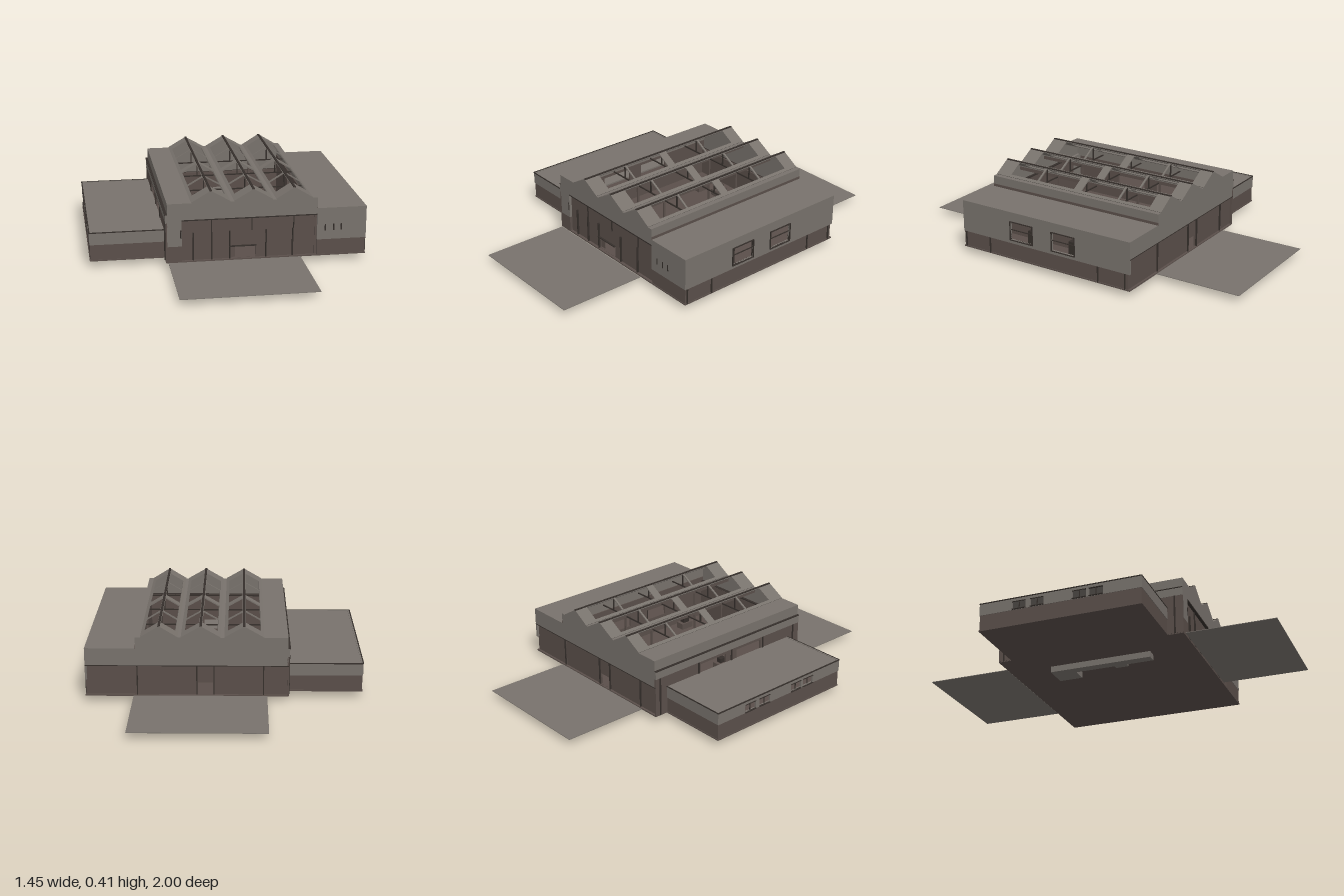
import * as THREE from 'three';

export function createModel() {
  const mat = (name, color) => {
    const m = new THREE.MeshStandardMaterial({ color });
    m.name = name;
    return m;
  };
  const cladding = mat('light cladding', 0x78726c);
  const plinth = mat('dark brick', 0x5a4f4a);
  const trim = mat('dark trim', 0x352f2b);
  const model = new THREE.Group();
  model.name = 'industrialHall';

  // Box from its min and max corners
  const box = (name, m, x0, x1, y0, y1, z0, z1) => {
    const mesh = new THREE.Mesh(new THREE.BoxGeometry(x1 - x0, y1 - y0, z1 - z0), m);
    mesh.position.set((x0 + x1) / 2, (y0 + y1) / 2, (z0 + z1) / 2);
    mesh.name = name;
    model.add(mesh);
    return mesh;
  };
  // Panel outline with rectangular openings [u0, u1, v0, v1]
  const panel = (points, holes, depth) => {
    const shape = new THREE.Shape(points.map(([u, v]) => new THREE.Vector2(u, v)));
    for (const [a, b, c, d] of holes) {
      shape.holes.push(new THREE.Path([[a, c], [a, d], [b, d], [b, c]].map(([u, v]) => new THREE.Vector2(u, v))));
    }
    return new THREE.ExtrudeGeometry(shape, { depth, bevelEnabled: false });
  };
  const rect = (a, b, c, d) => [[a, c], [b, c], [b, d], [a, d]];
  const T = 0.01;
  // Wall facing front or back, z is its rear face
  const wallZ = (name, m, points, z, holes = []) => {
    const mesh = new THREE.Mesh(panel(points, holes, T), m);
    mesh.position.z = z;
    mesh.name = name;
    model.add(mesh);
  };
  // Wall facing left or right, x is its +x face
  const wallX = (name, m, points, x, holes = []) => {
    const mesh = new THREE.Mesh(panel(points, holes, T).rotateY(-Math.PI / 2), m);
    mesh.position.x = x;
    mesh.name = name;
    model.add(mesh);
  };

  const G = 0.037, back = -0.53, front = 0.515, split = 0.122;

  // Floors, yards and service pit
  box('hallFloor', plinth, -0.33, 0.718, G - 0.004, G + 0.003, back, front);
  box('annexFloor', plinth, -0.718, -0.33, G - 0.004, G + 0.003, -0.455, 0.43);
  box('frontYard', cladding, -0.32, 0.37, G - 0.003, G, 0.522, 1);
  box('backYard', cladding, -0.22, 0.47, G - 0.003, G, -1, -0.532);
  box('pitTrench', cladding, -0.18, -0.13, 0, G - 0.004, -0.16, 0.28);
  box('pitStep', cladding, -0.13, -0.105, 0, G - 0.004, 0.06, 0.13);
  box('pitRoom', cladding, -0.18, -0.05, 0, G - 0.004, -0.29, -0.16);

  // Saw-tooth gables at both ends
  const ridges = [[-0.1, 0.1], [0.122, 0.1], [0.335, 0.094]];
  const eave = 0.353, peak = 0.411;
  const skyline = [];
  for (const [x, w] of ridges) skyline.push([x - w, eave], [x, peak], [x + w, eave]);
  const gable = (base) => [[-0.325, eave], [-0.325, base], [0.457, base], [0.457, eave], ...skyline.slice().reverse()];
  wallZ('frontGable', cladding, gable(0.262), front - T);
  wallZ('backGable', cladding, gable(0.2), back);

  // Front wall: corner pier, set-back brick wall with doorway
  box('frontPierTop', cladding, -0.325, -0.25, split, 0.262, front - 0.025, front);
  box('frontPierBase', plinth, -0.325, -0.25, G, split, front - 0.025, front);
  wallZ('frontWall', plinth, rect(-0.25, 0.457, G, 0.262), front - 0.025, [[0, 0.135, G + 0.004, 0.104]]);
  box('frontCanopy', trim, -0.25, 0.457, 0.258, 0.264, front - 0.025, front + 0.001);
  for (const x of [-0.19, -0.095, 0.0, 0.19, 0.33]) {
    box('frontPost', trim, x - 0.003, x + 0.003, G, 0.19, front - 0.015, front - 0.005);
  }
  for (const x of [-0.095, 0.115, 0.335]) {
    box('frontRainPipe', trim, x - 0.002, x + 0.002, 0.19, 0.262, front - 0.015, front - 0.008);
  }
  box('doorLintel', trim, -0.004, 0.139, 0.104, 0.109, front - 0.016, front - 0.004);
  box('slidingDoor', plinth, 0.0, 0.03, G, 0.104, front - 0.03, front - 0.025);

  // Back wall with its doorway
  wallZ('backWall', plinth, rect(-0.33, 0.715, G, 0.2), back + 0.012, [[0.06, 0.138, G + 0.004, 0.104]]);
  wallZ('backWingBand', cladding, rect(0.457, 0.718, 0.2, 0.292), back);
  box('backLedge', trim, -0.33, 0.718, 0.198, 0.202, back - 0.001, back + 0.013);
  for (const x of [-0.2, 0.055, 0.143, 0.45]) {
    box('backPost', trim, x - 0.003, x + 0.003, G, 0.2, back + 0.004, back + 0.013);
  }

  // Hall roof: two sloping frames per ridge, open bays between rafters
  const bays = [[-0.455, -0.27], [-0.26, -0.035], [0.012, 0.24], [0.25, 0.425]];
  for (const [x, w] of ridges) {
    const rise = peak - eave, len = Math.hypot(w, rise);
    const holes = bays.map(([a, b]) => [a, b, len * 0.15, len * 0.93]);
    for (const s of [-1, 1]) {
      const geo = panel(rect(back, front, 0, len), holes, 0.006).translate(0, 0, -0.003).rotateY(-Math.PI / 2);
      const slope = new THREE.Mesh(geo, cladding);
      slope.position.set(x + s * w, eave, 0);
      slope.rotation.z = s * Math.atan2(w, rise);
      slope.name = 'skylightFrame';
      model.add(slope);
    }
    box('ridgeCap', trim, x - 0.006, x + 0.006, peak, peak + 0.004, back, front);
    // Roof trusses
    for (const z of [-0.265, -0.012, 0.245]) {
      box('trussTie', trim, x - w, x + w, 0.33, 0.336, z - 0.003, z + 0.003);
      box('trussPost', trim, x - 0.003, x + 0.003, 0.33, peak - 0.005, z - 0.003, z + 0.003);
    }
  }
  for (const [a, b] of [[-0.325, -0.2], [-0.001, 0.023], [0.221, 0.242], [0.428, 0.457]]) {
    box('flatRoof', cladding, a, b, 0.345, eave, back, front);
  }
  for (const x of [0.011, 0.232]) {
    box('valleyBeam', plinth, x - 0.008, x + 0.008, 0.325, 0.345, back + T, front - T);
    for (const z of [-0.265, 0.245]) box('column', plinth, x - 0.005, x + 0.005, G, 0.33, z - 0.005, z + 0.005);
  }

  // Hall side walls
  wallX('hallRightUpperWall', cladding, rect(back, front, 0.262, eave), -0.315);
  wallX('hallRightBand', cladding, rect(back, front, 0.25, 0.295), -0.324);
  const sideBays = [[-0.44, -0.25], [-0.22, -0.04], [0.04, 0.22], [0.25, 0.42]];
  wallX('hallRightWall', plinth, rect(back, front, G, 0.25), -0.322, sideBays.slice(1, 3).map(([a, b]) => [a, b, 0.13, 0.235]));
  for (const z of [-0.5, -0.235, 0, 0.235, 0.47]) {
    box('hallSidePost', trim, -0.336, -0.328, G, 0.25, z - 0.004, z + 0.004);
  }
  box('hallSideGutter', trim, -0.338, -0.325, 0.293, 0.297, back, front);
  wallX('clerestory', cladding, rect(back, front, 0.29, eave), 0.457);
  box('clerestoryFlashing', plinth, 0.457, 0.459, 0.292, 0.308, back, front);

  // Tall side wing with two windows
  const windows = [[-0.2, -0.062], [0.062, 0.2]];
  const wingHoles = windows.map(([a, b]) => [a, b, 0.143, 0.24]);
  wallX('partition', plinth, rect(back + T, front - T, G, 0.285), 0.455, windows.map(([a, b]) => [a, b, 0.135, 0.245]));
  wallX('wingSideWall', cladding, rect(back, front, split, 0.292), 0.718, wingHoles);
  wallX('wingSidePlinth', plinth, rect(back + 0.012, front - 0.005, G, split), 0.714);
  wallZ('wingFrontWall', cladding, rect(0.457, 0.718, split, 0.292), front - T);
  wallZ('wingFrontPlinth', plinth, rect(0.457, 0.715, G, split), front - T - 0.003);
  box('wingRoof', cladding, 0.45, 0.718, 0.285, 0.294, back, front);
  for (const x of [0.5, 0.545, 0.585]) box('ventSlot', trim, x - 0.003, x + 0.003, 0.17, 0.205, front, front + 0.002);
  box('pierVent', trim, -0.258, -0.252, 0.165, 0.21, front, front + 0.002);
  for (const [a, b] of windows) {
    for (const [z0, z1, y0, y1] of [[a, b, 0.24, 0.244], [a, b, 0.139, 0.143], [a - 0.004, a, 0.139, 0.244], [b, b + 0.004, 0.139, 0.244]]) {
      box('wingWindowFrame', trim, 0.708, 0.724, y0, y1, z0, z1);
    }
    box('wingWindowBar', trim, 0.711, 0.716, 0.195, 0.199, a, b);
  }
  for (const z of [-0.5, -0.34, 0.34, 0.5]) {
    box('wingRainPipe', trim, 0.714, 0.72, G, split, z - 0.003, z + 0.003);
  }

  // Low annex with a strip of small windows
  const annexHoles = [-0.27, -0.17, 0.06, 0.15].map((z) => [z, z + 0.075, 0.127, 0.166]);
  const A0 = -0.455, A1 = 0.43, AX = -0.718;
  wallX('annexSideWall', cladding, rect(A0, A1, split, 0.188), AX + T, annexHoles);
  wallX('annexSidePlinth', plinth, rect(A0 + 0.003, A1 - 0.003, G, split), AX + T + 0.003);
  for (const [a, b, c, d] of annexHoles) {
    box('annexWindowSill', trim, AX - 0.006, AX + 0.004, c - 0.004, c, a, b);
    box('annexWindowHead', trim, AX - 0.004, AX + 0.004, d, d + 0.003, a, b);
    box('annexWindowBar', trim, AX + 0.003, AX + 0.007, c, d, (a + b) / 2 - 0.002, (a + b) / 2 + 0.002);
  }
  for (const [z, inset] of [[A0, 0.003], [A1 - T, -0.003]]) {
    wallZ('annexEndWall', cladding, rect(AX, -0.33, split, 0.188), z);
    wallZ('annexEndPlinth', plinth, rect(AX + 0.003, -0.33, G, split), z + inset);
  }
  box('annexRoof', cladding, AX, -0.33, 0.178, 0.186, A0, A1);
  box('annexEdgeSide', trim, AX - 0.003, AX + 0.003, 0.185, 0.19, A0, A1);
  for (const z of [A0, A1]) box('annexEdgeEnd', trim, AX, -0.33, 0.185, 0.19, z - 0.002, z + 0.002);

  // Workshop benches and machines
  for (const [x, z] of [[-0.16, -0.36], [-0.05, -0.4], [-0.15, 0.1], [0.38, 0.3], [0.3, -0.38]]) {
    box('workbench', plinth, x - 0.025, x + 0.025, G, 0.075, z - 0.04, z + 0.04);
    box('machine', trim, x - 0.015, x + 0.015, 0.075, 0.1, z - 0.02, z + 0.02);
  }
  for (const z of [-0.13, 0.13]) box('wingMachine', trim, 0.56, 0.62, G, 0.165, z - 0.035, z + 0.035);
  return model;
}
